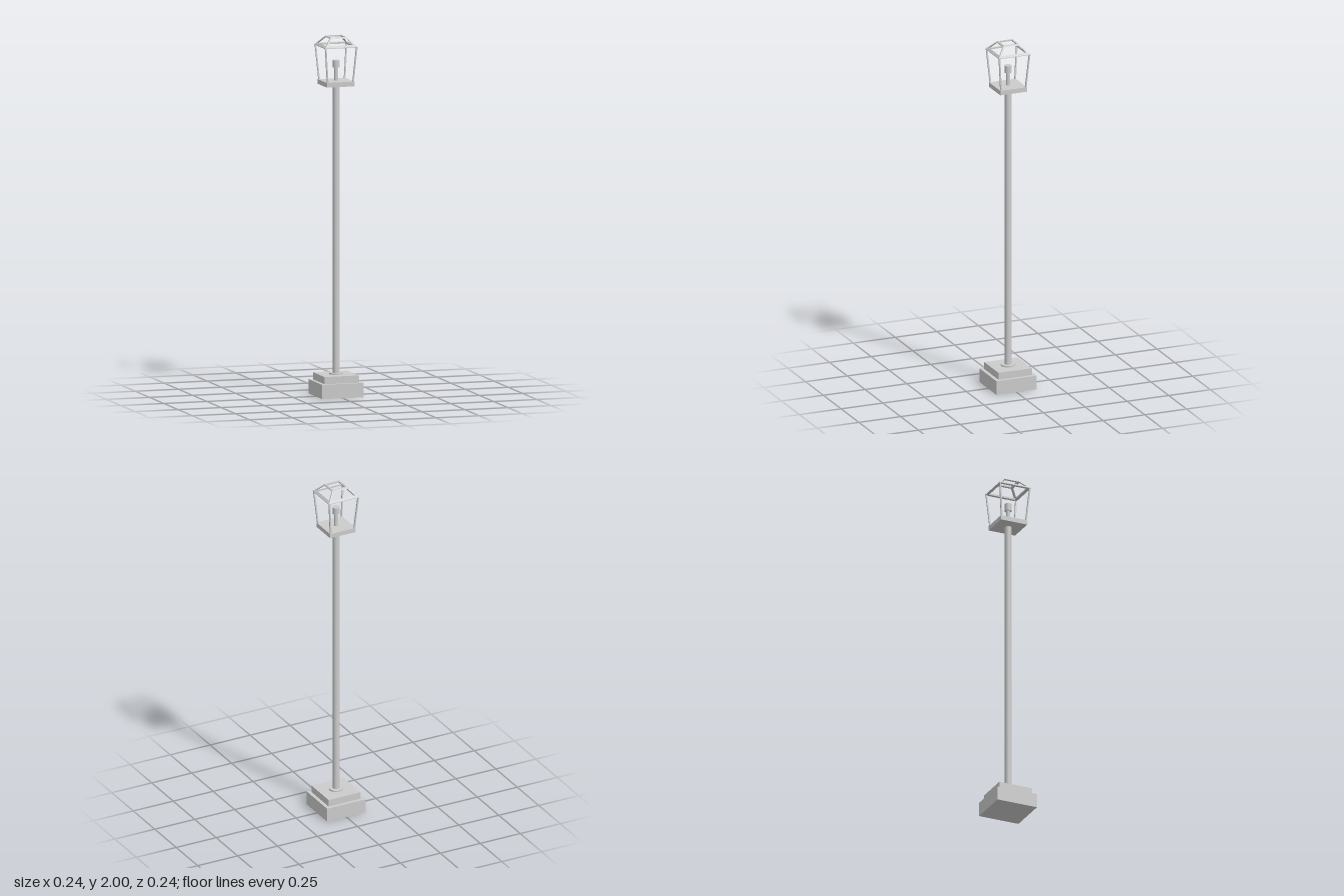
import * as THREE from 'three';

export function createModel() {
  const model = new THREE.Group();
  const flat = new THREE.MeshStandardMaterial({ color: 0xcccccc, flatShading: true });
  const smooth = new THREE.MeshStandardMaterial({ color: 0xcccccc });

  const add = (name, geometry, material = flat, parent = model) => {
    const mesh = new THREE.Mesh(geometry, material);
    mesh.name = name;
    parent.add(mesh);
    return mesh;
  };
  // Square block and round post between two heights
  const block = (name, half, y0, y1) =>
    add(name, new THREE.BoxGeometry(half * 2, y1 - y0, half * 2).translate(0, (y0 + y1) / 2, 0));
  const post = (name, r, y0, y1) =>
    add(name, new THREE.CylinderGeometry(r, r, y1 - y0, 32).translate(0, (y0 + y1) / 2, 0), smooth);
  // Square ring: a closed profile of [half width, height] swept round four sides
  const squareRing = (name, profile) => {
    const points = [...profile, profile[0]].map(([h, y]) => new THREE.Vector2(h * Math.SQRT2, y));
    return add(name, new THREE.LatheGeometry(points, 4, Math.PI / 4));
  };
  // Slim corner bar, leaning from one half width to another
  const cornerBar = (name, sx, sz, h0, y0, h1, y1, width) => {
    const geometry = new THREE.BoxGeometry(width, 1, width);
    const p = geometry.attributes.position;
    for (let i = 0; i < p.count; i++) {
      const t = p.getY(i) + 0.5;
      const h = h0 + (h1 - h0) * t - width / 2;
      p.setXYZ(i, p.getX(i) + sx * h, y0 + (y1 - y0) * t, p.getZ(i) + sz * h);
    }
    geometry.computeVertexNormals();
    return add(name, geometry);
  };

  // Stepped base and pole
  block('baseBlock', 0.12, 0, 0.08);
  block('baseStep', 0.1, 0.08, 0.12);
  post('poleCollar', 0.04, 0.12, 0.128);
  post('pole', 0.019, 0.12, 1.73);

  // Lantern floor and lamp
  block('lanternFloor', 0.08, 1.728, 1.754);
  post('lampStem', 0.012, 1.754, 1.83);
  post('lampHolder', 0.02, 1.827, 1.868);

  // Open roof frame
  squareRing('eavesFrame', [[0.095, 1.945], [0.095, 1.948], [0.084, 1.959], [0.079, 1.954], [0.079, 1.945]]);
  squareRing('crownFrame', [[0.051, 1.993], [0.046, 2], [0.037, 2], [0.037, 1.993]]);

  // Corner uprights and roof hips
  for (const sx of [-1, 1]) {
    for (const sz of [-1, 1]) {
      cornerBar('cornerUpright', sx, sz, 0.078, 1.752, 0.094, 1.946, 0.008);
      cornerBar('roofHip', sx, sz, 0.094, 1.948, 0.047, 1.999, 0.01);
    }
  }
  return model;
}
